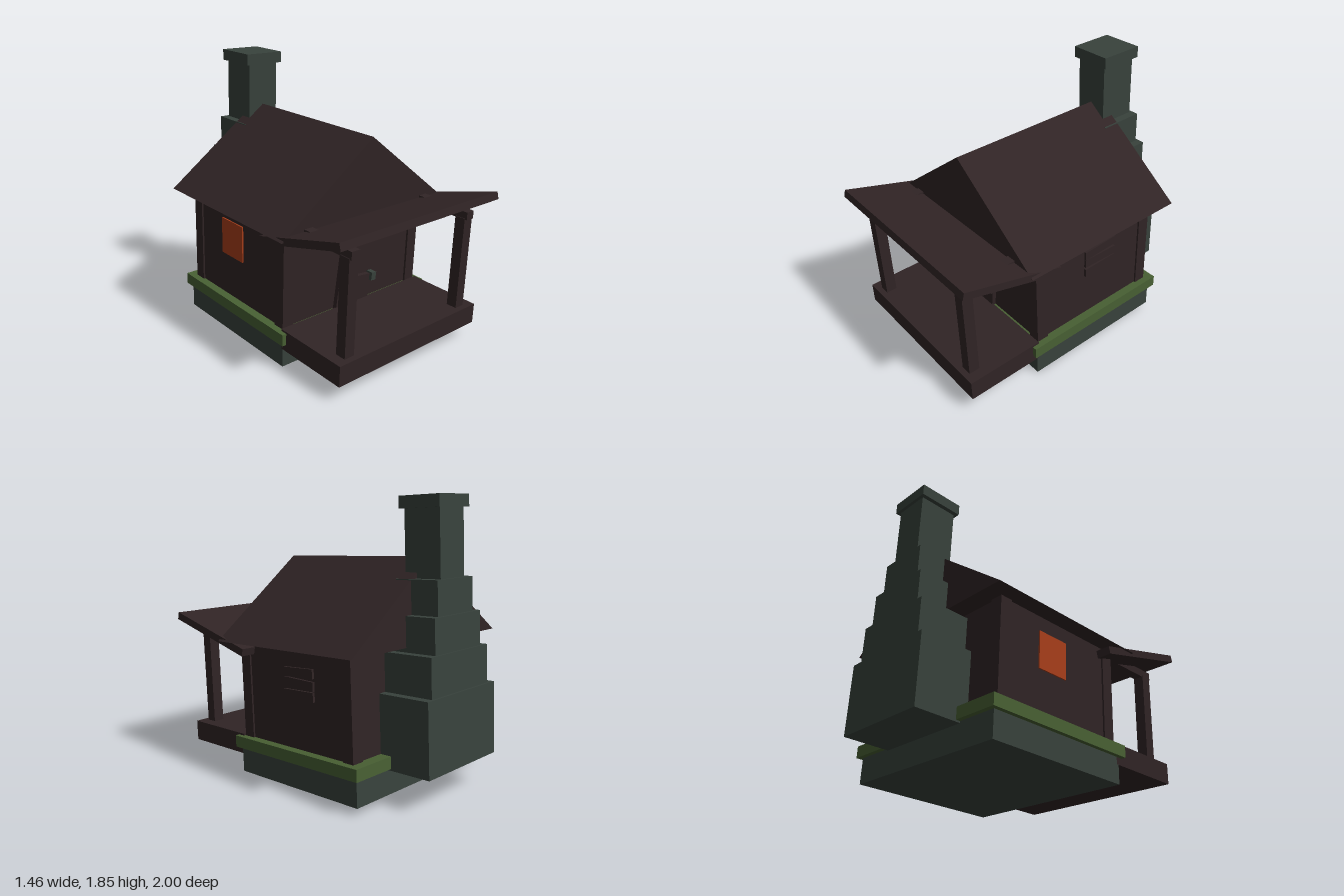
import * as THREE from 'three';

const mat = (name, color) => {
  const m = new THREE.MeshStandardMaterial({ color, flatShading: true });
  m.name = name;
  return m;
};

export function createModel() {
  const wood = mat('dark wood', 0x302425);
  const stone = mat('grey stone', 0x38423c);
  const moss = mat('moss green', 0x486033);
  const glow = mat('orange glow', 0xa83e1a);

  const model = new THREE.Group();
  model.name = 'cabin';

  // The whole cabin leans: nose down and turned a little
  const house = new THREE.Group();
  house.name = 'leaningHouse';
  house.rotation.order = 'YXZ';
  house.rotation.set(0.044, 0.038, 0);
  house.position.y = 0.017;
  model.add(house);

  // Box given by its ranges along x, y and z
  const box = (name, material, [x0, x1], [y0, y1], [z0, z1], parent = house) => {
    const mesh = new THREE.Mesh(new THREE.BoxGeometry(x1 - x0, y1 - y0, z1 - z0), material);
    mesh.position.set((x0 + x1) / 2, (y0 + y1) / 2, (z0 + z1) / 2);
    mesh.name = name;
    parent.add(mesh);
    return mesh;
  };

  // Foundation, moss band, porch floor and walls
  box('foundation', stone, [-0.615, 0.615], [0, 0.2], [-0.68, 0.367]);
  box('mossBand', moss, [-0.645, 0.645], [0.172, 0.25], [-0.71, 0.4]);
  box('porchFloor', wood, [-0.615, 0.615], [0.125, 0.262], [0.35, 0.89]);
  box('walls', wood, [-0.588, 0.588], [0.2, 0.91], [-0.63, 0.33]);

  for (const s of [-1, 1]) {
    // Corner posts
    for (const z of [-0.603, 0.303]) {
      const x = s * 0.558;
      box('cornerPost', wood, [x - 0.042, x + 0.042], [0.2, 0.905], [z - 0.042, z + 0.042]);
    }
    // Porch posts and the beams back to the wall
    const x = s * 0.505;
    box('porchPost', wood, [x - 0.037, x + 0.037], [0.25, 0.9], [0.775, 0.85]);
    box('porchBeam', wood, [x - 0.032, x + 0.032], [0.892, 0.945], [0.3, 0.862]);
  }

  // Main roof: a solid triangular prism
  const gable = new THREE.Shape([
    new THREE.Vector2(-0.705, 0.897),
    new THREE.Vector2(0.705, 0.897),
    new THREE.Vector2(0, 1.425),
  ]);
  const roofGeo = new THREE.ExtrudeGeometry(gable, { depth: 1.21, bevelEnabled: false });
  const roof = new THREE.Mesh(roofGeo, wood);
  roof.position.z = -0.755;
  roof.name = 'mainRoof';
  house.add(roof);

  // Porch roof, falling back toward the house
  const porchRoof = box('porchRoof', wood, [-0.69, 0.69], [0.912, 0.962], [0.21, 0.94]);
  porchRoof.rotation.x = -0.272;

  // Crooked door with two battens and a knob
  const door = new THREE.Group();
  door.name = 'door';
  door.position.set(0.005, 0.48, 0);
  door.rotation.z = -0.11;
  house.add(door);
  box('doorPanel', wood, [-0.143, 0.143], [-0.26, 0.255], [0.32, 0.36], door);
  box('upperBatten', wood, [-0.158, 0.15], [0.173, 0.216], [0.34, 0.39], door);
  box('lowerBatten', wood, [-0.135, 0.168], [-0.062, -0.02], [0.34, 0.39], door);
  box('doorKnob', stone, [0.102, 0.142], [-0.064, -0.008], [0.36, 0.412], door);

  // Boarded window on the left wall
  [[0.745, 0.04], [0.675, -0.03], [0.603, 0.02]].forEach(([y, tilt]) => {
    const board = box('windowBoard', wood, [0.58, 0.604], [y - 0.03, y + 0.03], [-0.33, -0.07]);
    board.rotation.x = tilt;
  });

  // Glowing window on the right wall
  box('glowingWindow', glow, [-0.597, -0.588], [0.545, 0.795], [-0.32, -0.09]);

  // Stepped chimney: half width, bottom, top, back, front
  [
    [0.34, 0.16, 0.625, -0.995, -0.62],
    [0.285, 0.62, 0.87, -0.98, -0.62],
    [0.23, 0.865, 1.088, -0.968, -0.62],
    [0.175, 1.083, 1.3, -0.95, -0.64],
    [0.118, 1.2, 1.72, -0.93, -0.67],
    [0.147, 1.715, 1.79, -0.95, -0.65],
  ].forEach(([w, y0, y1, z0, z1], i) => {
    const name = i < 4 ? 'chimneyStep' : i === 4 ? 'chimneyShaft' : 'chimneyCap';
    box(name, stone, [-w, w], [y0, y1], [z0, z1]);
  });

  return model;
}
